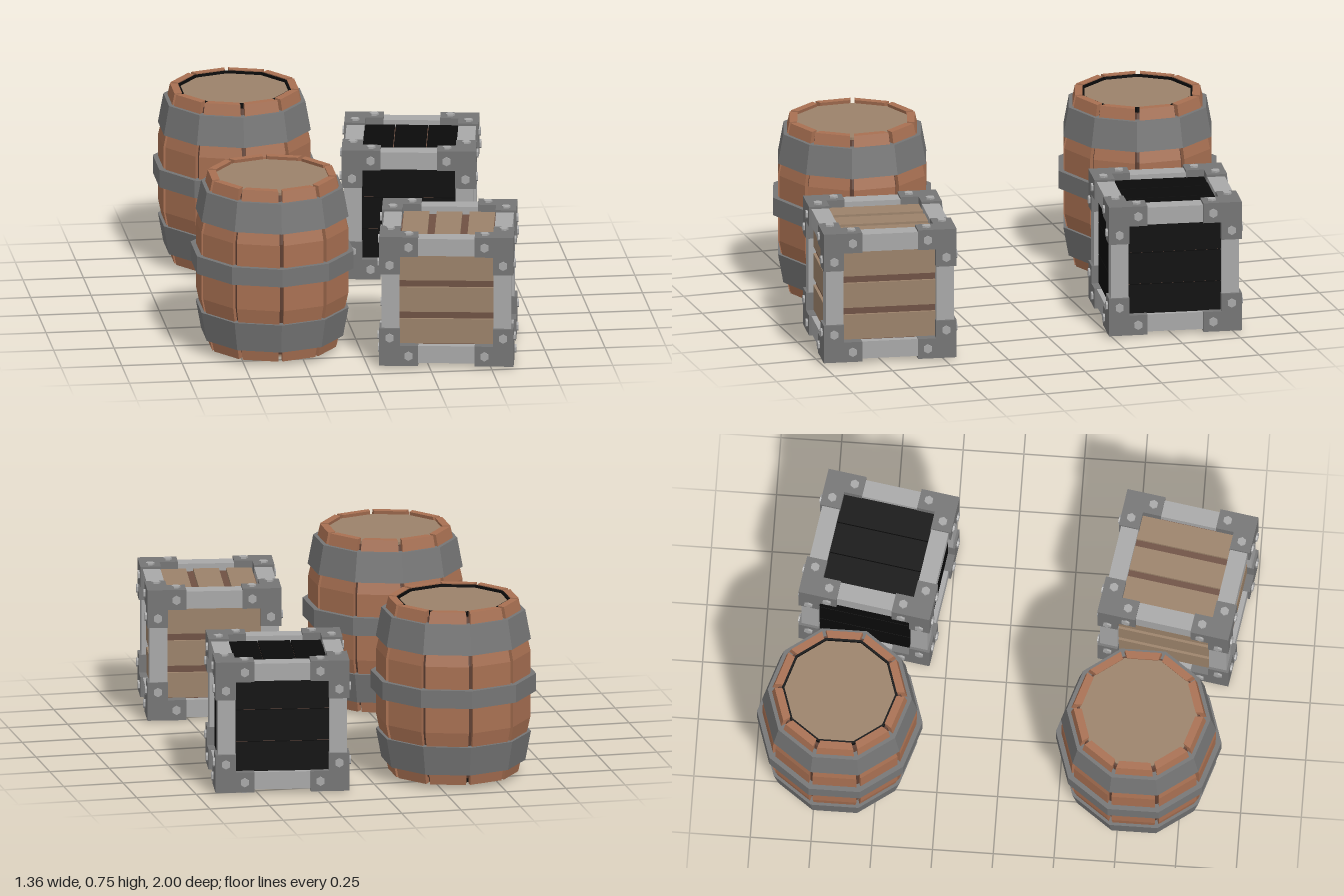
import * as THREE from 'three';

const mat = (name, color) => {
  const m = new THREE.MeshStandardMaterial({ color });
  m.name = name;
  return m;
};

const COS = Math.cos(Math.PI / 10), TAN = Math.tan(Math.PI / 10);

// flat-sided normals
function facet(g) {
  const f = g.index ? g.toNonIndexed() : g;
  f.computeVertexNormals();
  return f;
}

// ten-sided solid of revolution; profile holds [flat-side distance, y]
const decagon = (profile) =>
  facet(new THREE.LatheGeometry(profile.map(([a, y]) => new THREE.Vector2(a / COS, y)), 10));

function add(parent, name, geometry, material, x = 0, y = 0, z = 0) {
  const mesh = new THREE.Mesh(geometry, material);
  mesh.name = name;
  mesh.position.set(x, y, z);
  parent.add(mesh);
  return mesh;
}

// stave bent along the barrel profile, listed top to bottom
const PROFILE = [[0.257, 0.75], [0.304, 0.53], [0.304, 0.25], [0.257, 0.02]];
function staveGeometry() {
  const g = new THREE.BoxGeometry(1, 1, 1, 1, 3, 1);
  const p = g.attributes.position;
  for (let i = 0; i < p.count; i++) {
    const [a, y] = PROFILE[Math.round((0.5 - p.getY(i)) * 3)];
    const d = p.getZ(i) > 0 ? a : a - 0.032;
    p.setXYZ(i, Math.sign(p.getX(i)) * (d * TAN - 0.009), y, d);
  }
  return facet(g);
}

function barrel(m, darkRim) {
  const g = new THREE.Group();
  g.name = darkRim ? 'darkRimmedBarrel' : 'barrel';
  const stave = staveGeometry();
  for (let i = 0; i < 10; i++) {
    add(g, 'stave', stave, m.stave).rotation.y = (i + 0.5) * Math.PI / 5;
  }
  // dark core seen through the seams
  add(g, 'seamCore', decagon([[0, 0.045], [0.24, 0.045], [0.284, 0.25], [0.284, 0.53],
    [0.24, 0.725], [0, 0.725]]), m.seam);

  // lids, recessed below the rim
  const lidSize = darkRim ? 0.218 : 0.23;
  for (const y of [0.04, 0.73]) {
    add(g, 'lid', decagon([[0, y - 0.006], [lidSize, y - 0.006], [lidSize, y + 0.006], [0, y + 0.006]]), m.plank);
    if (darkRim) {
      const lo = y < 0.4 ? 0.024 : y - 0.008, hi = y < 0.4 ? y + 0.008 : 0.746;
      add(g, 'rimLining', decagon([[0.217, lo], [0.226, lo], [0.226, hi], [0.217, hi], [0.217, lo]]), m.black);
    }
  }

  // hoops: [lower size, lower y, upper size, upper y]
  for (const [a0, y0, a1, y1] of [
    [0.282, 0.067, 0.304, 0.19], [0.324, 0.36, 0.324, 0.435], [0.304, 0.58, 0.282, 0.703],
  ]) {
    const t = 0.035;
    add(g, 'hoop', decagon([[a0 - t, y0], [a0, y0], [a1, y1], [a1 - t, y1], [a0 - t, y0]]), m.iron);
  }
  return g;
}

const HALF = 0.276, ARM = 0.16, THICK = 0.085;

function crate(m, dark) {
  const g = new THREE.Group();
  g.name = dark ? 'darkCrate' : 'crate';
  const core = 2 * (HALF - 0.042);
  add(g, 'gapBacking', new THREE.BoxGeometry(core, core, core), m.gap);

  // frame beams and three-armed corner brackets, one set per axis
  const axes = ['x', 'y', 'z'];
  axes.forEach((axis, k) => {
    const size = [0.073, 0.073, 0.073];
    size[k] = 2 * HALF - 0.1;
    const beam = new THREE.BoxGeometry(...size);
    const armSize = [THICK, THICK, THICK];
    armSize[k] = ARM;
    const arm = new THREE.BoxGeometry(...armSize);
    const [u, v] = axes.filter((a) => a !== axis);
    for (const su of [-1, 1]) for (const sv of [-1, 1]) {
      const b = add(g, 'frameBeam', beam, m.frame);
      b.position[u] = su * (HALF - 0.0465);
      b.position[v] = sv * (HALF - 0.0465);
      for (const s of [-1, 1]) {
        const c = add(g, 'cornerBracket', arm, m.iron);
        c.position[axis] = s * (HALF - ARM / 2);
        c.position[u] = su * (HALF - THICK / 2);
        c.position[v] = sv * (HALF - THICK / 2);
      }
    }
  });

  // each face: three boards and two bolts per corner
  const board = new THREE.BoxGeometry(0.39, dark ? 0.131 : 0.105, 0.016);
  const bolt = facet(new THREE.CylinderGeometry(0.019, 0.019, 0.012, 6).rotateX(Math.PI / 2));
  const q = Math.PI / 2;
  for (const r of [[0, 0, 0], [0, q, 0], [0, 2 * q, 0], [0, -q, 0], [-q, 0, q], [q, 0, q]]) {
    const face = new THREE.Group();
    face.name = 'crateFace';
    face.rotation.set(...r);
    for (const i of [-1, 0, 1]) {
      add(face, 'board', board, dark ? m.black : m.plank, 0, i * 0.135, HALF - 0.038);
    }
    for (const sx of [-1, 1]) for (const sy of [-1, 1]) {
      for (const [dx, dy] of [[0.12, 0.043], [0.043, 0.12]]) {
        add(face, 'bolt', bolt, m.frame, sx * (HALF - dx), sy * (HALF - dy), HALF + 0.002);
      }
    }
    g.add(face);
  }
  return g;
}

export function createModel() {
  const m = {
    stave: mat('barrelWood', 0xa87052),
    seam: mat('barrelSeam', 0x5f4033),
    plank: mat('paleWood', 0x9b826a),
    gap: mat('crateGapBrown', 0x6f5143),
    iron: mat('darkIron', 0x757575),
    frame: mat('lightSteel', 0xa8a8a8),
    black: mat('black', 0x0a0a0a),
  };
  const model = new THREE.Group();
  model.name = 'barrelsAndCrates';
  for (const back of [false, true]) {
    const b = barrel(m, back);
    b.position.set(-0.355, 0, back ? -0.66 : 0.57);
    const c = crate(m, back);
    c.position.set(0.36, 0.285, back ? -0.55 : 0.68);
    c.rotation.y = -0.155;
    model.add(b, c);
  }
  return model;
}
